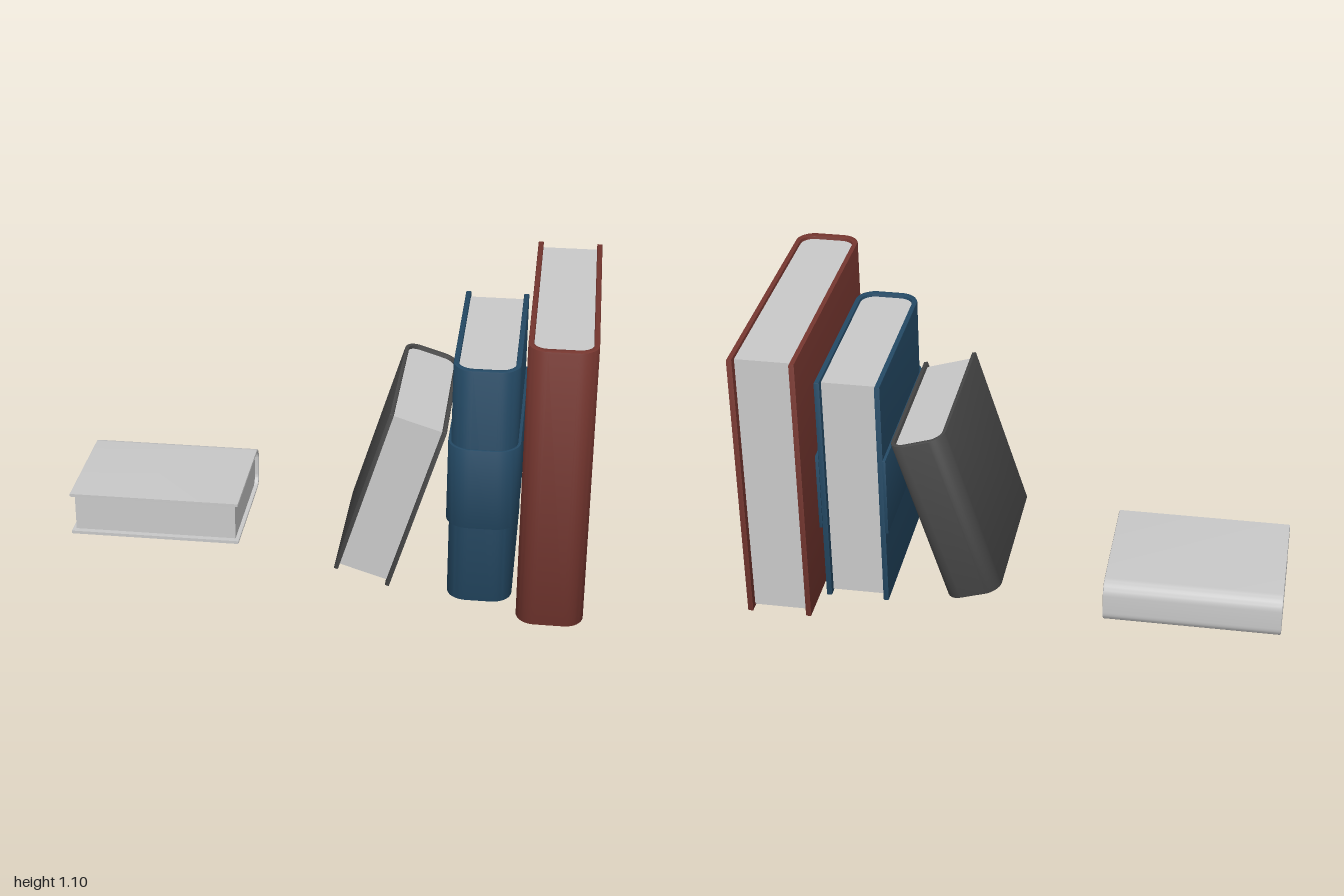
import * as THREE from 'three';
import { toCreasedNormals } from 'three/addons/utils/BufferGeometryUtils.js';

const paint = (name, color) => Object.assign(new THREE.MeshStandardMaterial({ color }), { name });

// Block outline seen from above, rounded on the spine side (spine at -y)
function traceRounded(path, hw, front, back, r) {
  path.moveTo(hw, back);
  path.lineTo(-hw, back);
  path.lineTo(-hw, front + r);
  path.absarc(-hw + r, front + r, r, Math.PI, Math.PI * 1.5, false);
  path.absarc(hw - r, front + r, r, Math.PI * 1.5, Math.PI * 2, false);
  path.closePath();
  return path;
}

// U-shaped outline of a cover: two boards joined by a rounded spine
function coverShape(w, depth, t, spine, r) {
  const hw = w / 2, hd = depth / 2, iw = hw - t, ir = Math.max(r - t, 0.01), yi = -hd + spine;
  const s = new THREE.Shape();
  s.moveTo(-hw, hd);
  s.lineTo(-hw, -hd + r);
  s.absarc(-hw + r, -hd + r, r, Math.PI, Math.PI * 1.5, false);
  s.absarc(hw - r, -hd + r, r, Math.PI * 1.5, Math.PI * 2, false);
  s.lineTo(hw, hd);
  s.lineTo(iw, hd);
  s.lineTo(iw, yi + ir);
  s.absarc(iw - ir, yi + ir, ir, 0, -Math.PI / 2, true);
  s.absarc(-iw + ir, yi + ir, ir, -Math.PI / 2, -Math.PI, true);
  s.lineTo(-iw, hd);
  s.closePath();
  return s;
}

// Extrude an outline upward, centred on the origin, spine facing +z
function upright(shape, height, bevel) {
  const g = new THREE.ExtrudeGeometry(shape, {
    depth: height - 2 * bevel, curveSegments: 5, bevelEnabled: bevel > 0,
    bevelThickness: bevel, bevelSize: bevel, bevelOffset: -bevel, bevelSegments: 2,
  });
  g.translate(0, 0, -height / 2 + bevel);
  g.rotateX(-Math.PI / 2);
  return toCreasedNormals(g, 0.6);
}

function part(name, geometry, material) {
  const mesh = new THREE.Mesh(geometry, material);
  mesh.name = name;
  return mesh;
}

function makeBook(name, { w, h, d, t, spine, r, inset, foreEdge, cover, paper }) {
  const book = new THREE.Group();
  book.name = name;
  book.add(part('cover', upright(coverShape(w, d, t, spine, r), h, 0.005), cover));
  // page block, slightly sunk into the cover
  const block = traceRounded(new THREE.Shape(), w / 2 - t + 0.001, -d / 2 + spine - 0.001,
    d / 2 - foreEdge, Math.max(r - t, 0.01));
  book.add(part('pages', upright(block, h - 2 * inset, 0), paper));
  return book;
}

export function createModel() {
  const model = new THREE.Group();
  model.name = 'books';
  const paper = paint('pale grey', 0xc9c9c9);
  const red = paint('brick red', 0x75362f);
  const blue = paint('deep blue', 0x244964);
  const charcoal = paint('charcoal', 0x474747);

  // tall upright book
  const tall = makeBook('tallBook', {
    w: 0.245, h: 1.09, d: 1.04, t: 0.02, spine: 0.03, r: 0.07,
    inset: 0.013, foreEdge: 0.03, cover: red, paper,
  });
  tall.position.set(0.877, 0.555, 0);

  // medium upright book with a wide band round its cover
  const banded = makeBook('bandedBook', {
    w: 0.242, h: 0.94, d: 0.735, t: 0.02, spine: 0.025, r: 0.075,
    inset: 0.013, foreEdge: 0.027, cover: blue, paper,
  });
  banded.add(part('band', upright(coverShape(0.264, 0.75, 0.012, 0.012, 0.085), 0.32, 0.003), blue));
  banded.children[2].position.set(0, 0, 0.003);
  banded.position.set(0.611, 0.473, 0.002);
  banded.children[2].position.y = 0.475 - 0.473;

  // leaning book, spine to the back
  const leaning = makeBook('leaningBook', {
    w: 0.218, h: 0.69, d: 0.66, t: 0.016, spine: 0.018, r: 0.06,
    inset: 0.015, foreEdge: 0.022, cover: charcoal, paper,
  });
  leaning.rotation.set(0, Math.PI, 0.3);
  leaning.position.set(0.27, 0.372, -0.01);

  // book lying flat, spine to the back
  const lying = makeBook('lyingBook', {
    w: 0.175, h: 0.665, d: 0.51, t: 0.012, spine: 0.015, r: 0.05,
    inset: 0.016, foreEdge: 0.022, cover: paper, paper,
  });
  lying.rotation.set(0, Math.PI, Math.PI / 2);
  lying.position.set(-0.668, 0.1125, -0.155);

  model.add(tall, banded, leaning, lying);
  return model;
}
